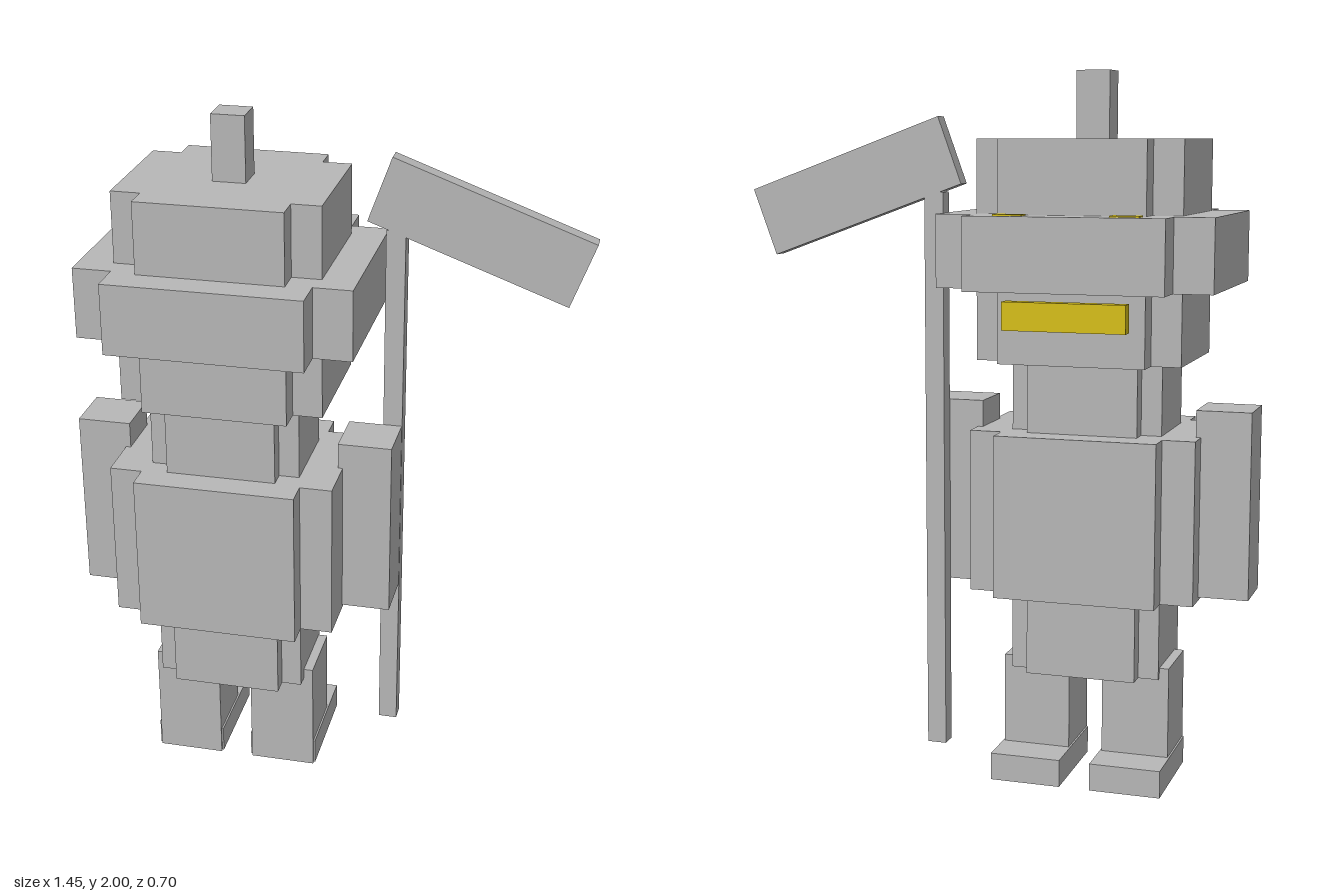
import * as THREE from 'three';

const grey = new THREE.MeshStandardMaterial({ color: 0xb8b8b8 });
grey.name = 'stone grey';
const yellow = new THREE.MeshStandardMaterial({ color: 0xd8c01a });
yellow.name = 'glowing yellow';

const CX = -0.265; // centre line of the figure; the flag balances it on +x

// Box given by its limits on each axis
function box(name, [x0, x1], [y0, y1], [z0, z1], material = grey) {
  const mesh = new THREE.Mesh(new THREE.BoxGeometry(x1 - x0, y1 - y0, z1 - z0), material);
  mesh.position.set((x0 + x1) / 2, (y0 + y1) / 2, (z0 + z1) / 2);
  mesh.name = name;
  return mesh;
}

// Block with notched corners: outer half sizes W, D and inner half sizes w, d
function notchedBlock(name, W, w, D, d, y0, y1, z) {
  const outline = [
    [-w, -D], [w, -D], [w, -d], [W, -d], [W, d], [w, d],
    [w, D], [-w, D], [-w, d], [-W, d], [-W, -d], [-w, -d],
  ].map(([x, y]) => new THREE.Vector2(x, y));
  const geometry = new THREE.ExtrudeGeometry(new THREE.Shape(outline), { depth: y1 - y0, bevelEnabled: false });
  geometry.rotateX(-Math.PI / 2);
  const mesh = new THREE.Mesh(geometry, grey);
  mesh.position.set(CX, y0, z);
  mesh.name = name;
  return mesh;
}

export function createModel() {
  const model = new THREE.Group();
  model.name = 'blockFigure';

  // Stacked body and head
  model.add(
    notchedBlock('hips', 0.215, 0.157, 0.175, 0.125, 0.31, 0.545, 0.035),
    notchedBlock('torso', 0.322, 0.23, 0.258, 0.185, 0.545, 1.005, 0.035),
    notchedBlock('neck', 0.215, 0.157, 0.175, 0.125, 1.005, 1.21, 0.035),
    notchedBlock('head', 0.288, 0.205, 0.261, 0.188, 1.21, 1.412, 0),
    notchedBlock('hatBrim', 0.385, 0.276, 0.349, 0.25, 1.412, 1.613, 0),
    notchedBlock('hatCrown', 0.288, 0.205, 0.261, 0.188, 1.613, 1.815, 0),
    box('hatKnob', [CX - 0.047, CX + 0.047], [1.815, 2], [-0.043, 0.048]),
  );

  // Mirrored limbs and eyes
  for (const [side, s] of [['left', 1], ['right', -1]]) {
    const span = (a, b) => [CX + s * a, CX + s * b].sort((p, q) => p - q);
    model.add(
      box(side + 'Arm', span(0.308, 0.462), [0.555, 1.08], [-0.077, 0.078]),
      box(side + 'Leg', span(0.049, 0.242), [0, 0.34], [-0.077, 0.122]),
      box(side + 'Foot', span(0.044, 0.247), [0.002, 0.08], [-0.195, 0.115]),
      box(side + 'Eye', span(0.12, 0.2), [1.61, 1.617], [-0.32, -0.28], yellow),
    );
  }

  // Mouth, on the side the feet point to
  model.add(box('mouth', [CX - 0.17, CX + 0.17], [1.31, 1.387], [-0.334, -0.297], yellow));

  // Pole with a tilted flag
  model.add(box('pole', [0.143, 0.198], [0.07, 1.668], [-0.126, -0.077]));
  const flag = box('flag', [0.105, 0.705], [1.582, 1.779], [-0.126, -0.077]);
  flag.rotation.z = -0.35;
  model.add(flag);

  return model;
}
